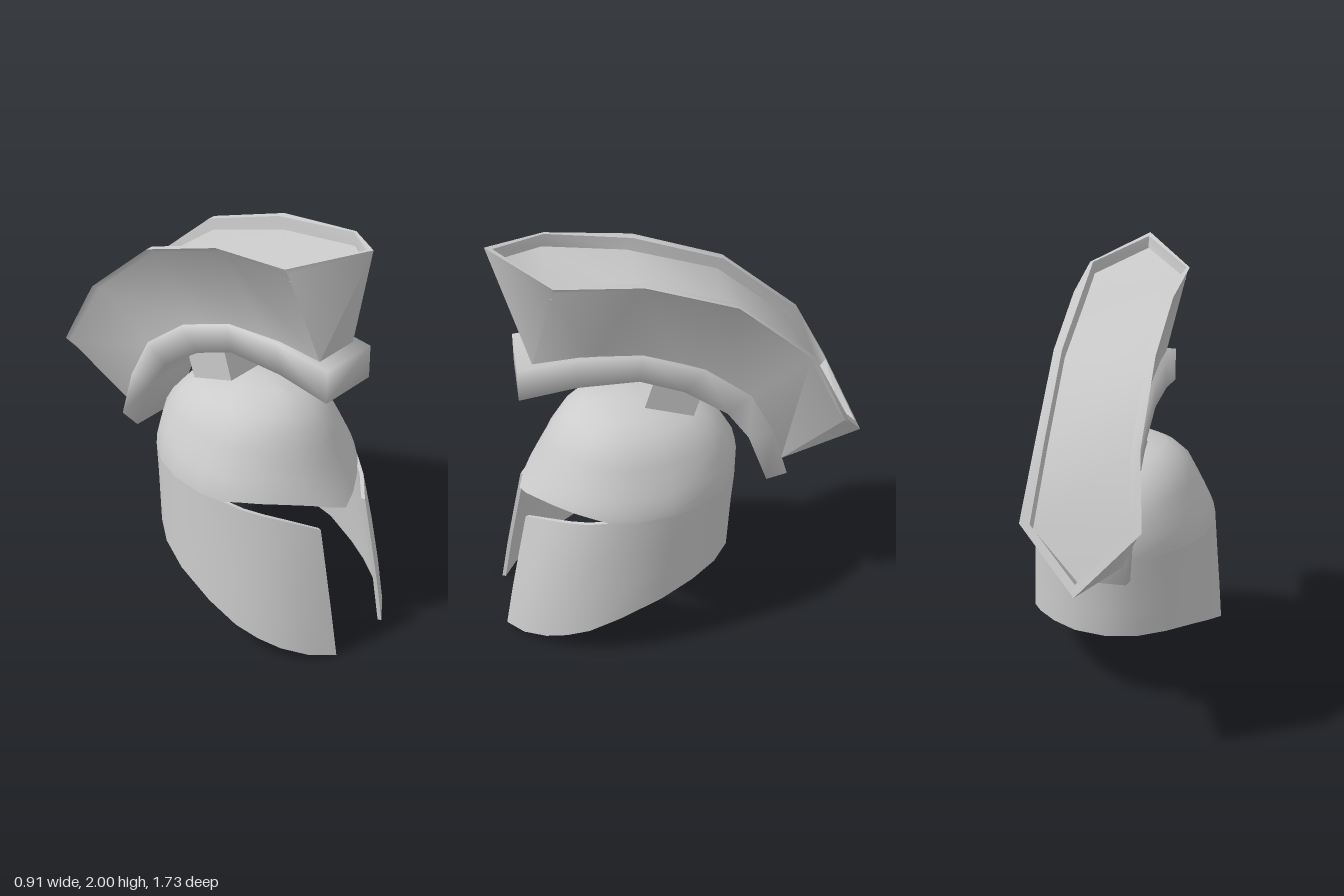
import * as THREE from 'three';
import { toCreasedNormals } from 'three/addons/utils/BufferGeometryUtils.js';

const { lerp, smoothstep } = THREE.MathUtils;

// Horizontal helmet sections: height, half width, front z, back z, z of the widest point
const SECTIONS = [
  [0, 0.46, 0.905, -0.22, 0.36], [0.22, 0.457, 0.865, -0.23, 0.34], [0.35, 0.45, 0.84, -0.235, 0.31],
  [0.64, 0.435, 0.78, -0.255, 0.27], [0.69, 0.433, 0.755, -0.26, 0.265], [0.78, 0.43, 0.705, -0.27, 0.26],
  [0.83, 0.417, 0.68, -0.27, 0.26], [0.92, 0.375, 0.635, -0.25, 0.26], [0.97, 0.35, 0.615, -0.23, 0.26],
  [1.06, 0.305, 0.56, -0.15, 0.26], [1.11, 0.245, 0.51, -0.07, 0.26], [1.14, 0.2, 0.45, 0.04, 0.26],
  [1.16, 0.11, 0.4, 0.12, 0.26], [1.175, 0, 0.26, 0.26, 0.26],
];

// Helmet edges by angle from the front: angle, brow, lower eye edge, bottom edge
const COLUMNS = [
  [0, 0.685], [0.19, 0.715],
  [0.38, 0.745, 0.64, 0], [0.65, 0.77, 0.69, 0.025], [0.9, 0.777, 0.72, 0.06],
  [1.1, 0.775, 0.738, 0.097], [1.3, 0.76, 0.76, 0.14], [1.57, 0.76, 0.76, 0.215],
  [1.9, 0.76, 0.76, 0.29], [2.2, 0.76, 0.76, 0.335], [2.5, 0.76, 0.76, 0.35],
  [2.8, 0.76, 0.76, 0.35], [Math.PI, 0.76, 0.76, 0.35],
];

// Skin a row of equal point loops; open rows get end caps (loops are symmetric strips)
function loft(loops, closed = false, crease = 0.7) {
  const pos = [], n = loops[0].length;
  const tri = (a, b, c) => {
    const area = b.clone().sub(a).cross(c.clone().sub(a)).length();
    if (area > 1e-8) pos.push(a, b, c);
  };
  const quad = (a, b, c, d) => { tri(a, b, c); tri(a, c, d); };
  const count = closed ? loops.length : loops.length - 1;
  for (let i = 0; i < count; i++) {
    const p = loops[i], q = loops[(i + 1) % loops.length];
    for (let j = 0; j < n; j++) {
      const k = (j + 1) % n;
      quad(p[j], q[j], q[k], p[k]);
    }
  }
  if (!closed) {
    const first = loops[0], last = loops[loops.length - 1];
    for (let j = 0; j < n / 2 - 1; j++) {
      quad(first[j], first[j + 1], first[n - 2 - j], first[n - 1 - j]);
      quad(last[n - 1 - j], last[n - 2 - j], last[j + 1], last[j]);
    }
  }
  // Turn the closed surface outward if its volume is negative
  let volume = 0;
  for (let i = 0; i < pos.length; i += 3) volume += pos[i].dot(pos[i + 1].clone().cross(pos[i + 2]));
  if (volume < 0) for (let i = 0; i < pos.length; i += 3) [pos[i + 1], pos[i + 2]] = [pos[i + 2], pos[i + 1]];
  return toCreasedNormals(new THREE.BufferGeometry().setFromPoints(pos), crease);
}

// Point on the helmet at angle a and height y, inset by d
function shellPoint(a, y, d) {
  let i = 0;
  while (i < SECTIONS.length - 2 && y > SECTIONS[i + 1][0]) i++;
  const s = SECTIONS[i], e = SECTIONS[i + 1];
  const t = (y - s[0]) / (e[0] - s[0]);
  const [w, zf, zb, zc] = [1, 2, 3, 4].map((k) => lerp(s[k], e[k], t));
  const c = Math.cos(a);
  const reach = Math.max((c > 0 ? zf - zc : zc - zb) - d, 0);
  const drop = d * smoothstep(y, 0.9, 1.175);
  return new THREE.Vector3(Math.max(w - d, 0) * Math.sin(a), y - drop, zc + reach * c);
}

// Outer rows upward, then inner rows back down
function shellLoop(a, y0, y1, steps) {
  const ys = steps.map((f) => lerp(y0, y1, f));
  return [...ys.map((y) => shellPoint(a, y, 0)), ...ys.reverse().map((y) => shellPoint(a, y, 0.018))];
}

export function createModel() {
  const group = new THREE.Group();
  const metal = new THREE.MeshStandardMaterial({ color: 0xcccccc });
  metal.name = 'light grey';
  const add = (name, geometry) => {
    const mesh = new THREE.Mesh(geometry, metal);
    mesh.name = name;
    group.add(mesh);
    return mesh;
  };

  // Columns all the way round, mirrored behind the back
  const mirrored = COLUMNS.slice(0, -1).reverse().map(([a, ...ys]) => [2 * Math.PI - a, ...ys]);
  const around = [...COLUMNS, ...mirrored];

  // Dome with the pointed brow
  const domeSteps = [0, 0.12, 0.25, 0.4, 0.55, 0.7, 0.83, 0.92, 0.97, 1];
  add('dome', loft(around.slice(0, -1).map(([a, brow]) => shellLoop(a, brow, 1.175, domeSteps)), true));

  // Cheek guards joined by the neck guard
  const lower = around.filter((c) => c.length === 4);
  add('cheekAndNeckGuard', loft(lower.map(([a, , lip, bottom]) => shellLoop(a, bottom, lip, [0, 0.33, 0.66, 1]))));

  // Tilted square post carrying the crest
  const post = add('crestPost', new THREE.BoxGeometry(0.235, 0.22, 0.235));
  post.position.set(0, 1.24, 0.03);
  post.rotation.x = -0.3;

  // Curved crest holder: lower z, y and upper z, y at each station
  const holder = [
    [0.74, 1.292, 0.74, 1.45], [0.48, 1.335, 0.46, 1.482], [0.2, 1.34, 0.18, 1.47],
    [0, 1.262, -0.1, 1.365], [-0.2, 1.12, -0.31, 1.2], [-0.3, 0.975, -0.42, 0.985],
    [-0.39, 0.72, -0.487, 0.745],
  ];
  const holderShape = [[-0.15, 0], [-0.15, 1], [0.15, 1], [0.15, 0]];
  add('crestHolder', loft(holder.map(([z0, y0, z1, y1]) => holderShape.map(([x, t]) =>
    new THREE.Vector3(x, lerp(y0, y1, t), lerp(z0, z1, t)))), false, 1.75));

  // Flared crest: base z, y, rim z, y, half widths of base, wall top, rim and sunken top
  const stations = [
    [0.67, 1.455, 0.57, 1.912, 0.115, 0.228, 0.24, 0.225], [0.4, 1.46, 0.18, 1.878, 0.125, 0.197, 0.23, 0.19],
    [0, 1.39, -0.23, 1.735, 0.13, 0.195, 0.227, 0.19], [-0.27, 1.18, -0.58, 1.43, 0.13, 0.2, 0.23, 0.19],
    [-0.46, 0.82, -0.735, 1.115, 0.13, 0.25, 0.267, 0.22],
  ];
  const crestLoops = stations.map(([z0, y0, z1, y1, base, wall, rim, top]) => {
    const half = [[base, 0], [wall, 0.945], [rim, 1], [top, 1], [top - 0.005, 0.87]];
    const at = (x, t) => new THREE.Vector3(x, lerp(y0, y1, t), lerp(z0, z1, t));
    return [...half.map(([x, t]) => at(-x, t)), ...half.reverse().map(([x, t]) => at(x, t))];
  });
  // Pointed ends: rim point, inner rim point and sunken point
  const tip = (...points) => {
    const [rim, inner, floor] = points.map(([y, z]) => new THREE.Vector3(0, y, z));
    return [rim, rim, rim, inner, floor, floor, inner, rim, rim, rim];
  };
  add('crest', loft([
    tip([2, 0.84], [1.99, 0.805], [1.935, 0.79]),
    ...crestLoops,
    tip([0.85, -0.867], [0.9, -0.84], [0.885, -0.785]),
  ], false, 0.9));

  return group;
}
